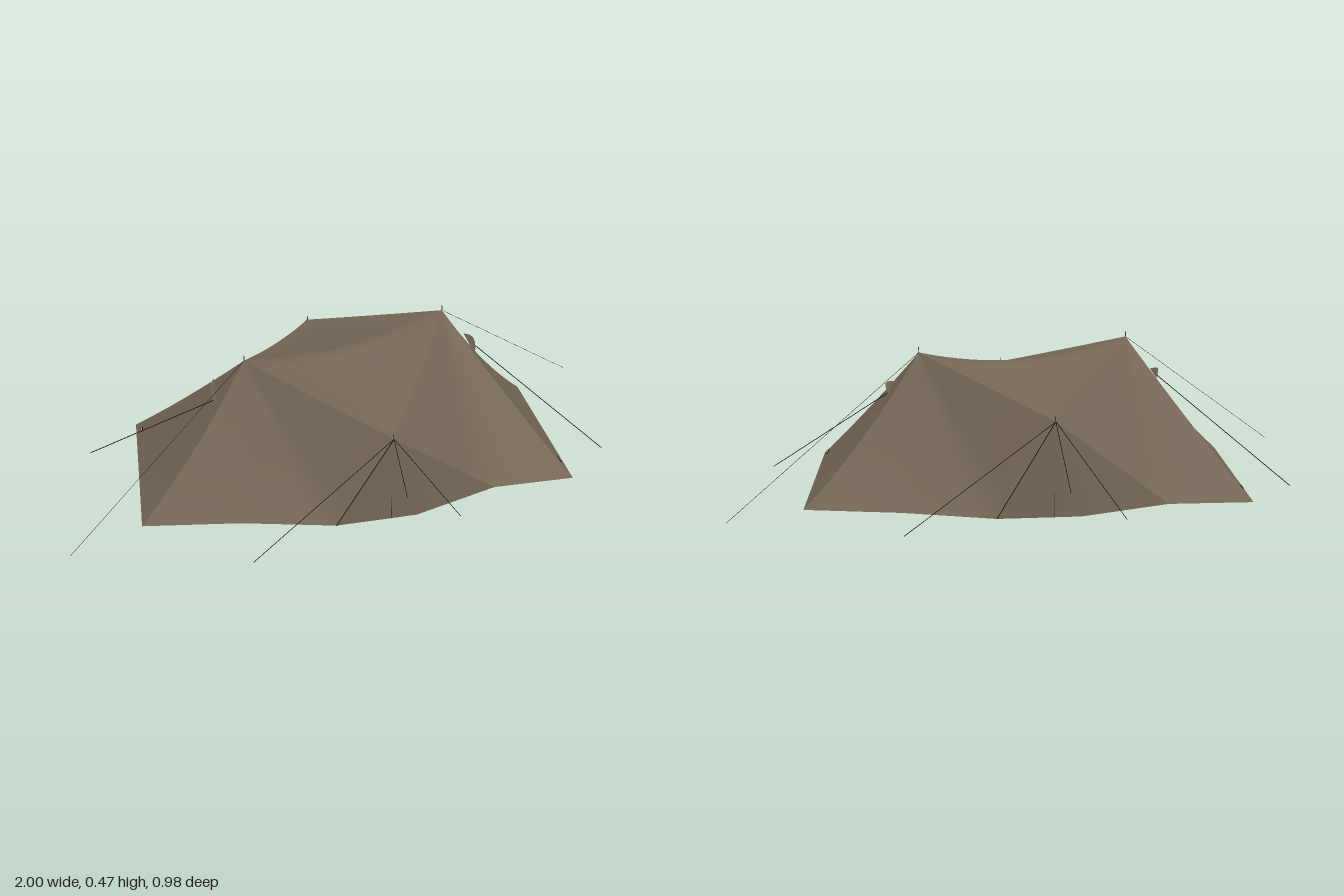
import * as THREE from 'three';

const V = (x, y, z) => new THREE.Vector3(x, y, z);
const material = (name, color, side = THREE.FrontSide) => {
  const m = new THREE.MeshStandardMaterial({ color, side });
  m.name = name;
  return m;
};

// Point on an edge that hangs slightly below the straight line
const hang = (a, b, t, sag) => {
  const p = a.clone().lerp(b, t);
  p.y -= 4 * t * (1 - t) * sag;
  return p;
};

// Surface through a grid of points, given as rows of equal length
function surface(rows) {
  const n = rows[0].length, index = [];
  for (let i = 0; i + 1 < rows.length; i++) {
    for (let j = 0; j + 1 < n; j++) {
      const a = i * n + j, b = a + n;
      index.push(a, b, a + 1, b, b + 1, a + 1);
    }
  }
  const g = new THREE.BufferGeometry().setFromPoints(rows.flat());
  g.setIndex(index);
  g.computeVertexNormals();
  return g;
}

// Cloth fan from one apex to a list of [point, sag] rim points
function fan(apex, rim, across = 4, down = 14) {
  const rows = [];
  for (let k = 0; k + 1 < rim.length; k++) {
    for (let i = k ? 1 : 0; i <= across; i++) {
      const s = i / across;
      rows.push(Array.from({ length: down + 1 }, (_, j) =>
        hang(apex, rim[k][0], j / down, rim[k][1])
          .lerp(hang(apex, rim[k + 1][0], j / down, rim[k + 1][1]), s)));
    }
  }
  return surface(rows);
}

export function createModel() {
  const cloth = material('tent cloth', 0x756756, THREE.DoubleSide);
  const black = material('black cord', 0x141311);
  const metal = material('pole metal', 0x3a3a3a);
  const pale = material('pale tag', 0xb5b0a6);
  const model = new THREE.Group();
  model.name = 'tent';

  // Peaks, side pole tops and ground corners; the other half is a half turn
  const turn = p => V(-p.x, p.y, -p.z);
  const peakL = V(0.36, 0.455, 0), peakR = turn(peakL);
  const side = V(-0.05, 0.305, 0.402);
  const cornerL = V(0.59, 0, 0.49), backL = V(0.76, 0, -0.07), backR = turn(backL);
  const hem = [V(-0.48, 0, 0.2), V(-0.22, 0, 0.35), V(0.03, 0, 0.419), V(0.33, 0, 0.412)];
  const shortSag = 0.001, longSag = 0.013;

  // Sagging diamond roof
  const rows = [];
  for (let i = -10; i <= 10; i++) {
    const t = Math.abs(i) / 10, row = [];
    const a = hang(peakR, side, t, shortSag), b = hang(peakL, side, t, longSag);
    const l = i < 0 ? turn(b) : a, r = i < 0 ? turn(a) : b;
    for (let j = 0; j <= 16; j++) row.push(hang(l, r, j / 16, 0.05 * (1 - t)));
    rows.push(row);
  }
  const roof = new THREE.Mesh(surface(rows), cloth);
  roof.name = 'roof';
  model.add(roof);

  function buildHalf() {
    const half = new THREE.Group();
    const add = (name, geometry, mat) => {
      const mesh = new THREE.Mesh(geometry, mat);
      mesh.name = name;
      half.add(mesh);
      return mesh;
    };
    const rod = (name, a, b, radius, mat = black) => {
      const d = b.clone().sub(a);
      const m = add(name, new THREE.CylinderGeometry(radius, radius, d.length(), 6), mat);
      m.position.copy(a).lerp(b, 0.5);
      m.quaternion.setFromUnitVectors(V(0, 1, 0), d.normalize());
    };

    // Walls
    add('shortWall', fan(peakR, [[backR, 0.028], [hem[0], 0.02], [hem[1], 0.01], [side, shortSag]]), cloth);
    add('doorWall', fan(side, [[hem[1], 0], [hem[2], 0], [hem[3], 0]]), cloth);
    add('longWall', fan(peakL, [[side, longSag], [hem[3], 0], [cornerL, 0.008]]), cloth);
    add('endWall', fan(peakL, [[cornerL, 0.008], [backL, 0.028]], 10), cloth);

    // Vent flap on the end wall, opening outward and up from its straight edge
    const onEnd = (y, z, out) => V(0.36 + 0.8325 * (0.455 - y) - 0.3036 * z + out, y, z);
    const flap = [];
    for (let i = 0; i <= 12; i++) {
      const s = i / 12, z = 0.13 - 0.148 * s, bulge = Math.sin(Math.PI * s);
      const root = onEnd(0.336 - 0.006 * s, z, -0.004);
      flap.push([root, root.clone().add(V(0.017 * bulge, 0.016 * bulge, 0))]);
    }
    add('ventFlap', surface(flap), cloth);

    // Small tag low on the end wall
    const tag = new THREE.Group();
    tag.name = 'tag';
    const frame = new THREE.Mesh(new THREE.BoxGeometry(0.022, 0.01, 0.006), black);
    const face = new THREE.Mesh(new THREE.BoxGeometry(0.017, 0.005, 0.008), pale);
    frame.name = 'tagFrame';
    face.name = 'tagFace';
    tag.add(frame, face);
    tag.position.copy(onEnd(0.025, 0.412, -0.002));
    tag.lookAt(tag.position.clone().add(V(1, 0.8325, 0.3036)));
    half.add(tag);

    // Poles, standing just inside the cloth
    rod('peakPole', V(0.36, 0, 0), V(0.36, 0.472, 0), 0.0015, metal);
    rod('sidePole', V(side.x, 0, 0.397), V(side.x, 0.32, 0.397), 0.0015, metal);

    // Zip and tie beside the door
    const off = V(-0.001, 0, 0.001);
    rod('doorZip', side.clone().add(off), hem[1].clone().add(off), 0.0014);
    rod('doorTie', side.clone().add(off), V(-0.005, 0.08, 0.417), 0.001);

    // Guy lines
    const guys = [
      ['peakGuy', peakL, V(0.998, 0, -0.105), 0.0006],
      ['ventGuy', onEnd(0.325, 0.025, 0), V(0.785, 0, 0.395), 0.0013],
      ['sideGuyLeft', side, V(0.15, 0, 0.49), 0.001],
      ['sideGuyRight', side, V(-0.52, 0, 0.39), 0.001],
    ];
    for (const [name, a, b, r] of guys) rod(name, a, b, r);
    return half;
  }

  const front = buildHalf(), back = buildHalf();
  front.name = 'frontHalf';
  back.name = 'backHalf';
  back.rotation.y = Math.PI;
  model.add(front, back);
  return model;
}
